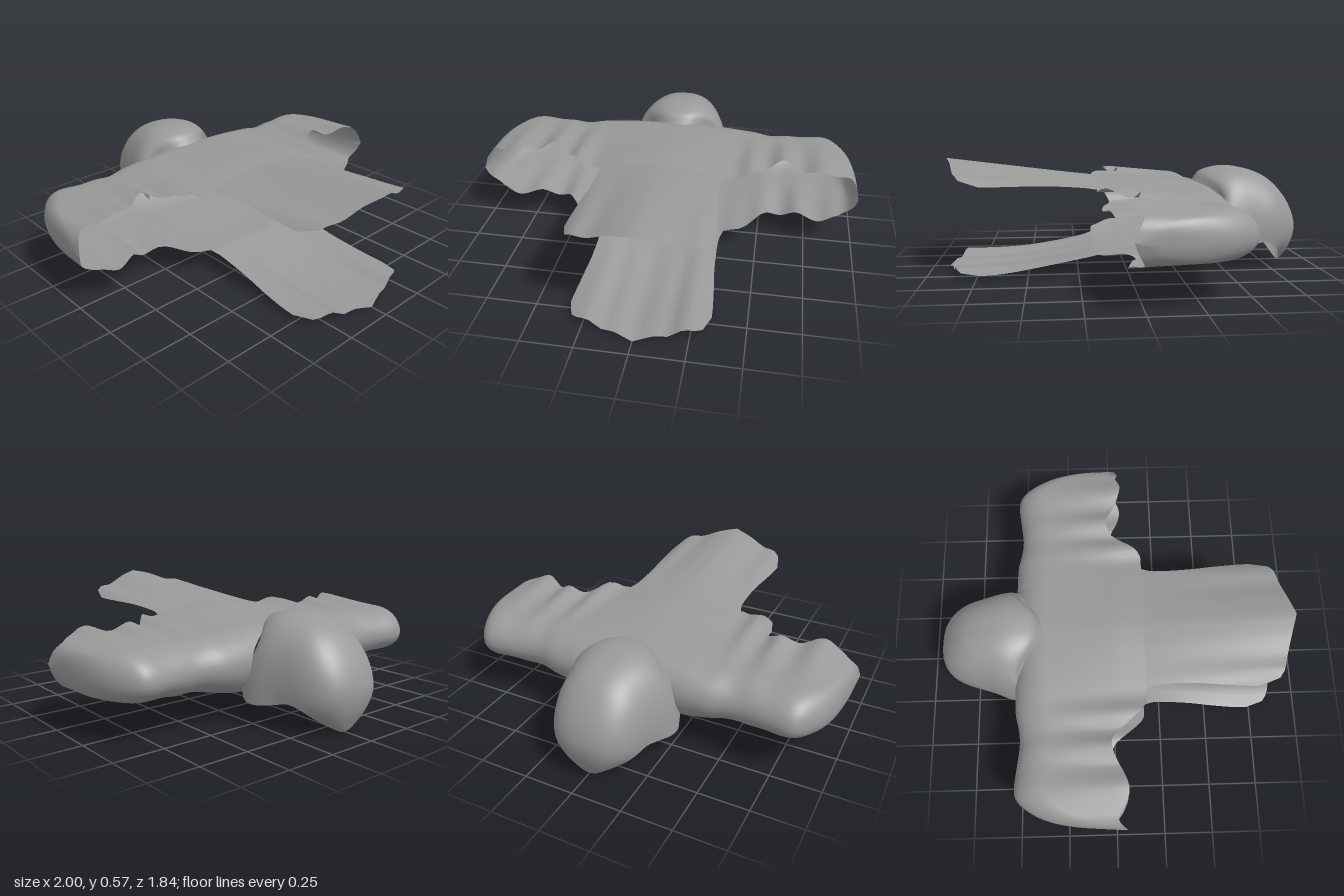
import * as THREE from 'three';
import { mergeGeometries, mergeVertices } from 'three/addons/utils/BufferGeometryUtils.js';

const clamp = THREE.MathUtils.clamp, lerp = THREE.MathUtils.lerp;

// Smooth curve through table rows [key, value, ...]
function curve(table, t, c = 1) {
  const n = table.length - 1;
  t = clamp(t, table[0][0], table[n][0]);
  let i = 0;
  while (i < n - 1 && t > table[i + 1][0]) i++;
  const slope = (k) => {
    const a = table[Math.max(k - 1, 0)], b = table[Math.min(k + 1, n)];
    return (b[c] - a[c]) / (b[0] - a[0]);
  };
  const a = table[i], b = table[i + 1], h = b[0] - a[0], s = (t - a[0]) / h;
  const s2 = s * s, s3 = s2 * s;
  return a[c] * (2 * s3 - 3 * s2 + 1) + b[c] * (3 * s2 - 2 * s3)
    + h * (slope(i) * (s3 - 2 * s2 + s) + slope(i + 1) * (s3 - s2));
}

// Grid surface: f(i, j) returns [x, y, z]
function grid(nu, nv, f, flip = false) {
  const pos = [], idx = [];
  for (let i = 0; i <= nu; i++) for (let j = 0; j <= nv; j++) pos.push(...f(i, j));
  for (let i = 0; i < nu; i++) for (let j = 0; j < nv; j++) {
    const a = i * (nv + 1) + j, b = a + nv + 1;
    if (flip) idx.push(a, a + 1, b, b, a + 1, b + 1);
    else idx.push(a, b, a + 1, b, b + 1, a + 1);
  }
  const g = new THREE.BufferGeometry();
  g.setAttribute('position', new THREE.Float32BufferAttribute(pos, 3));
  g.setIndex(idx);
  return g;
}

// Outline of the sleeves in plan, by distance from the middle
const HEM = [[0, .16], [.38, .16], [.41, .155], [.45, .12], [.5, .06], [.55, 0], [.61, -.02], [.68, .005],
  [.75, .04], [.83, .06], [.9, .035], [.95, .005], [.98, .02], [1, .05]];
const REAR = [[0, -.51], [.4, -.51], [.5, -.49], [.58, -.485], [.7, -.5], [.8, -.51], [.85, -.495],
  [.9, -.44], [.95, -.34], [.98, -.2], [1, .03]];
const SKIRT_END = [[0, .92], [.1, .89], [.2, .865], [.28, .84], [.315, .8], [.33, .73]];
const SKIRT_W = [[.16, .33], [.22, .312], [.4, .312], [.55, .325], [.7, .335], [.92, .335]];

// Sheet heights: near the shoulder, at the sleeve hem and at the skirt end
const SHEETS = {
  top: {
    back: [[0, .44], [.3, .43], [.5, .41], [.85, .41], [.95, .385], [.985, .35], [1, .3]],
    hem: [[0, .475], [.1, .468], [.2, .455], [.3, .44], [.38, .43], [.45, .455], [.53, .42], [.61, .465],
      [.7, .42], [.8, .452], [.88, .425], [.95, .4], [.985, .36], [1, .3]],
    end: [[0, .57], [.1, .55], [.2, .51], [.28, .505], [.335, .46]],
    reach: .76,
  },
  bottom: {
    back: [[0, .1], [.3, .13], [.5, .17], [.85, .19], [.95, .21], [.985, .25], [1, .3]],
    hem: [[0, .088], [.2, .1], [.3, .105], [.38, .125], [.45, .135], [.52, .155], [.61, .115], [.7, .17],
      [.8, .155], [.88, .18], [.95, .195], [.985, .24], [1, .3]],
    end: [[0, 0], [.1, .02], [.15, .012], [.22, .045], [.28, .035], [.335, .02]],
    reach: .6,
  },
};

function sheetY(s, x, z) {
  const a = Math.abs(x);
  const y = lerp(curve(s.back, a), curve(s.hem, a), clamp((z + .4) / .42, 0, 1));
  if (z <= .16) return y;
  const t = clamp((z - .16) / s.reach, 0, 1);
  return lerp(y, curve(s.end, a), s === SHEETS.bottom ? Math.sin(t * Math.PI / 2) : t);
}

// Columns across the garment, denser towards the sleeve tips
const INNER = 22, OUTER = 44;
const right = Array.from({ length: OUTER }, (_, i) => .33 + .67 * Math.sin((i + 1) / OUTER * Math.PI / 2));
const inner = Array.from({ length: INNER + 1 }, (_, i) => -.33 + .66 * i / INNER);
const columns = [...right.map((x) => -x).reverse(), ...inner, ...right];

// One half of the shoulders and sleeves: flat sheet, then a rounded back edge
function sleeveHalf(s, flip) {
  const flat = 14, arc = 10;
  return grid(columns.length - 1, flat + arc, (i, j) => {
    const x = columns[i], a = Math.abs(x);
    const hem = curve(HEM, a), rear = Math.min(curve(REAR, a), hem - .01);
    const d = Math.min(.17, (hem - rear) * .6), zc = rear + d;
    if (j <= flat) {
      const z = lerp(hem, zc, j / flat);
      return [x, sheetY(s, x, z), z];
    }
    // the neck hole cuts the rounded edge short
    const neck = a < .27 ? .94 * Math.sqrt(1 - (a / .27) ** 2) : 0;
    const t = Math.acos(neck) * (j - flat) / arc;
    const mid = a < 1 ? .29 : .3;
    return [x, mid + (sheetY(s, x, zc) - mid) * Math.cos(t), zc - d * Math.sin(t)];
  }, flip);
}

// Long skirt panel hanging from one sheet
function skirt(s, flip) {
  const rows = 24;
  return grid(INNER, rows, (i, j) => {
    const x0 = inner[i], z = lerp(curve(SKIRT_END, Math.abs(x0)), .16, j / rows);
    const x = x0 * curve(SKIRT_W, z) / .33;
    return [x, sheetY(s, x, z), z];
  }, flip);
}

// Hood arches: [step, apex z, apex y, side z, side y, half width, rim set-back]
const HOOD = [
  [0, -.37, .44, -.45, .12, .265, .1], [1, -.42, .495, -.5, .11, .285, .07],
  [2, -.55, .52, -.56, .11, .28, .02], [3, -.7, .49, -.64, .125, .25, 0],
  [4, -.8, .43, -.71, .14, .23, 0], [5, -.88, .33, -.77, .12, .205, 0],
  [6, -.92, .22, -.8, .09, .17, 0], [7, -.91, .12, -.825, .05, .11, 0],
  [8, -.87, .03, -.845, .01, .04, 0], [9, -.85, 0, -.85, 0, 0, 0],
];

function hoodShell() {
  const nu = 45, nv = 36;
  return grid(nu, nv, (i, j) => {
    const [zt, yt, zs, ys, w, b] = [1, 2, 3, 4, 5, 6].map((c) => curve(HOOD, 9 * i / nu, c));
    const p = Math.PI * j / nv, c = Math.cos(p), s = Math.max(Math.sin(p), 0);
    return [
      w * Math.sign(c) * Math.abs(c) ** .8,
      ys + (yt - ys) * s ** .85,
      zs + (zt - zs) * s ** .7 - b * Math.sin(2 * p) ** 2,
    ];
  });
}

// Collar under the chin, closing the hood below the face opening
function collar() {
  return grid(20, 8, (i, j) => {
    const u = i / 10 - 1, x = .25 * u;
    const z = lerp(-.39 - .06 * u * u, -.53 - .07 * (1 - u * u), j / 8);
    return [x, .108 + .02 * u ** 4, z];
  }, true);
}

export function createModel() {
  const group = new THREE.Group();
  const cloth = new THREE.MeshStandardMaterial({ color: 0x999999, side: THREE.DoubleSide });
  cloth.name = 'grey cloth';
  const add = (name, parts) => {
    const g = mergeVertices(mergeGeometries(parts), 1e-4);
    g.computeVertexNormals();
    const mesh = new THREE.Mesh(g, cloth);
    mesh.name = name;
    group.add(mesh);
  };
  const { top, bottom } = SHEETS;
  add('robe', [sleeveHalf(top, false), skirt(top, false), sleeveHalf(bottom, true), skirt(bottom, true)]);
  add('hood', [hoodShell()]);
  add('chinCollar', [collar()]);
  return group;
}
